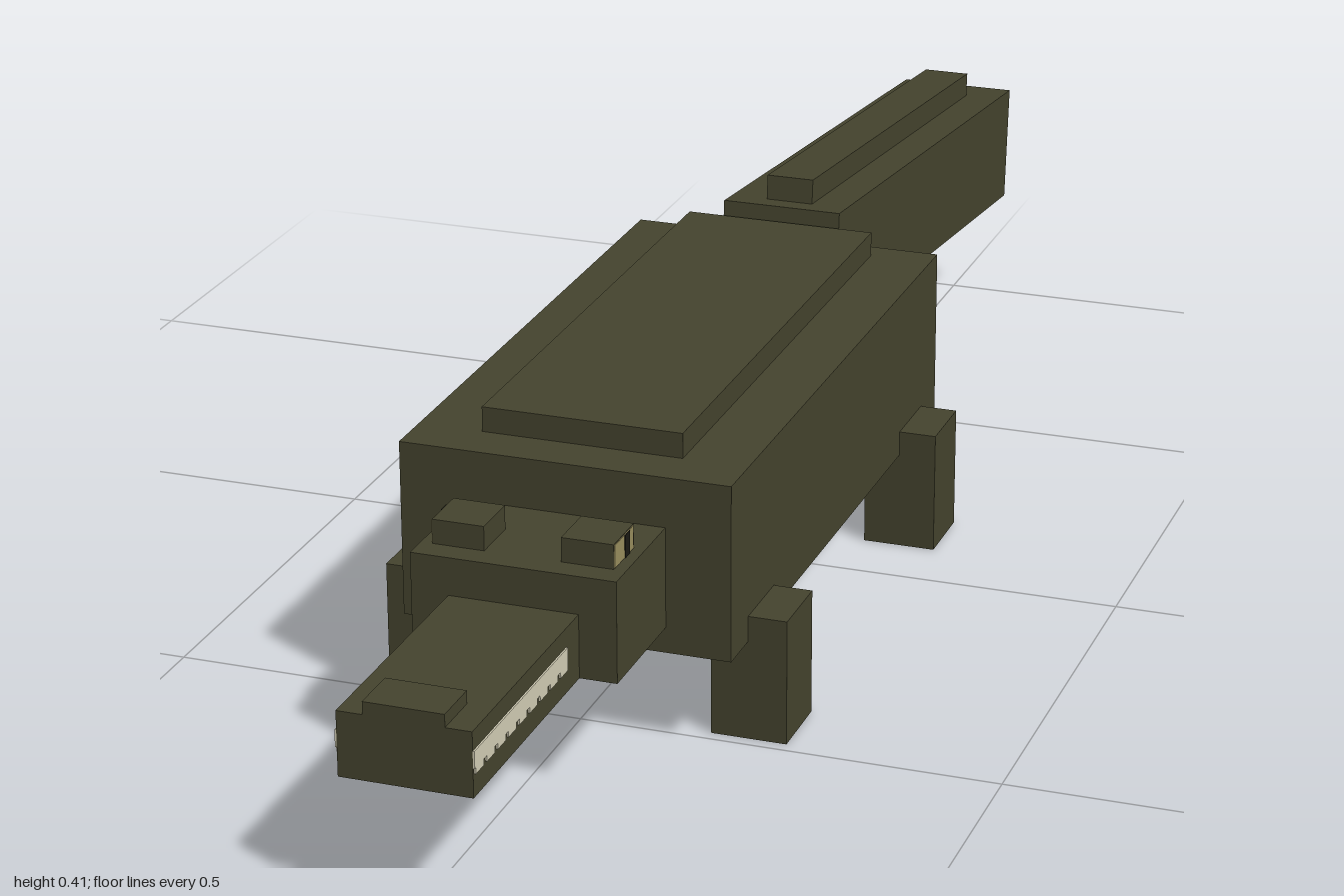
import * as THREE from 'three';

const mat = (name, color) => {
  const m = new THREE.MeshStandardMaterial({ color });
  m.name = name;
  return m;
};

export function createModel() {
  const root = new THREE.Group();
  root.name = 'crocodile';
  const hide = mat('olive hide', 0x45442e);
  const belly = mat('brown belly', 0x8a7a60);
  const ivory = mat('ivory teeth', 0xd6d1b8);
  const amber = mat('amber eye', 0x9c9160);
  const dark = mat('dark pupil', 0x1c1b14);
  // Face order: +x, -x, +y, -y, +z, -z
  const underside = [hide, hide, hide, belly, hide, hide];

  // Box given by its extents on each axis
  function box(name, [x0, x1], [y0, y1], [z0, z1], material = hide, parent = root) {
    const mesh = new THREE.Mesh(new THREE.BoxGeometry(x1 - x0, y1 - y0, z1 - z0), material);
    mesh.position.set((x0 + x1) / 2, (y0 + y1) / 2, (z0 + z1) / 2);
    mesh.name = name;
    parent.add(mesh);
    return mesh;
  }
  // Extents on the left (side 1) or right (side -1)
  const span = (side, a, b) => (side > 0 ? [a, b] : [-b, -a]);

  // Body and back plate
  box('body', [-0.197, 0.197], [0.121, 0.333], [-0.24, 0.543], underside);
  box('backPlate', [-0.12, 0.12], [0.333, 0.363], [-0.21, 0.485]);

  // Head, snout and nose
  box('head', [-0.12, 0.12], [0.152, 0.273], [0.543, 0.697]);
  box('snout', [-0.076, 0.076], [0.152, 0.228], [0.697, 1], underside);
  box('nose', [-0.046, 0.046], [0.228, 0.243], [0.94, 1]);

  for (const side of [1, -1]) {
    const label = side > 0 ? 'left' : 'right';

    // Eye bump with a slit pupil on its outer face
    box(label + 'EyeBump', span(side, 0.045, 0.106), [0.273, 0.302], [0.605, 0.667]);
    box(label + 'Eye', span(side, 0.106, 0.107), [0.274, 0.301], [0.608, 0.666], amber);
    box(label + 'Pupil', span(side, 0.107, 0.108), [0.274, 0.301], [0.622, 0.636], dark);

    // Row of teeth with a notched lower edge
    box(label + 'Gumline', span(side, 0.076, 0.078), [0.186, 0.206], [0.735, 1], ivory);
    for (let i = 0; i < 9; i++) {
      const z = 0.735 + i * 0.03;
      box(label + 'Tooth', span(side, 0.076, 0.078), [0.179, 0.186], [z, z + 0.022], ivory);
    }

    // Legs
    box(label + 'FrontLeg', span(side, 0.153, 0.243), [0, 0.152], [0.395, 0.485]);
    box(label + 'BackLeg', span(side, 0.153, 0.243), [0, 0.152], [-0.18, -0.09]);
  }

  // Drooping tail with a ridge, pivoted at its upper front edge
  const tail = new THREE.Group();
  tail.name = 'tail';
  tail.position.set(0, 0.381, -0.216);
  tail.rotation.x = -0.1;
  root.add(tail);
  box('tailBase', [-0.076, 0.076], [-0.152, 0], [-0.788, 0], underside, tail);
  box('tailRidge', [-0.03, 0.03], [0, 0.031], [-0.727, -0.031], hide, tail);

  return root;
}
